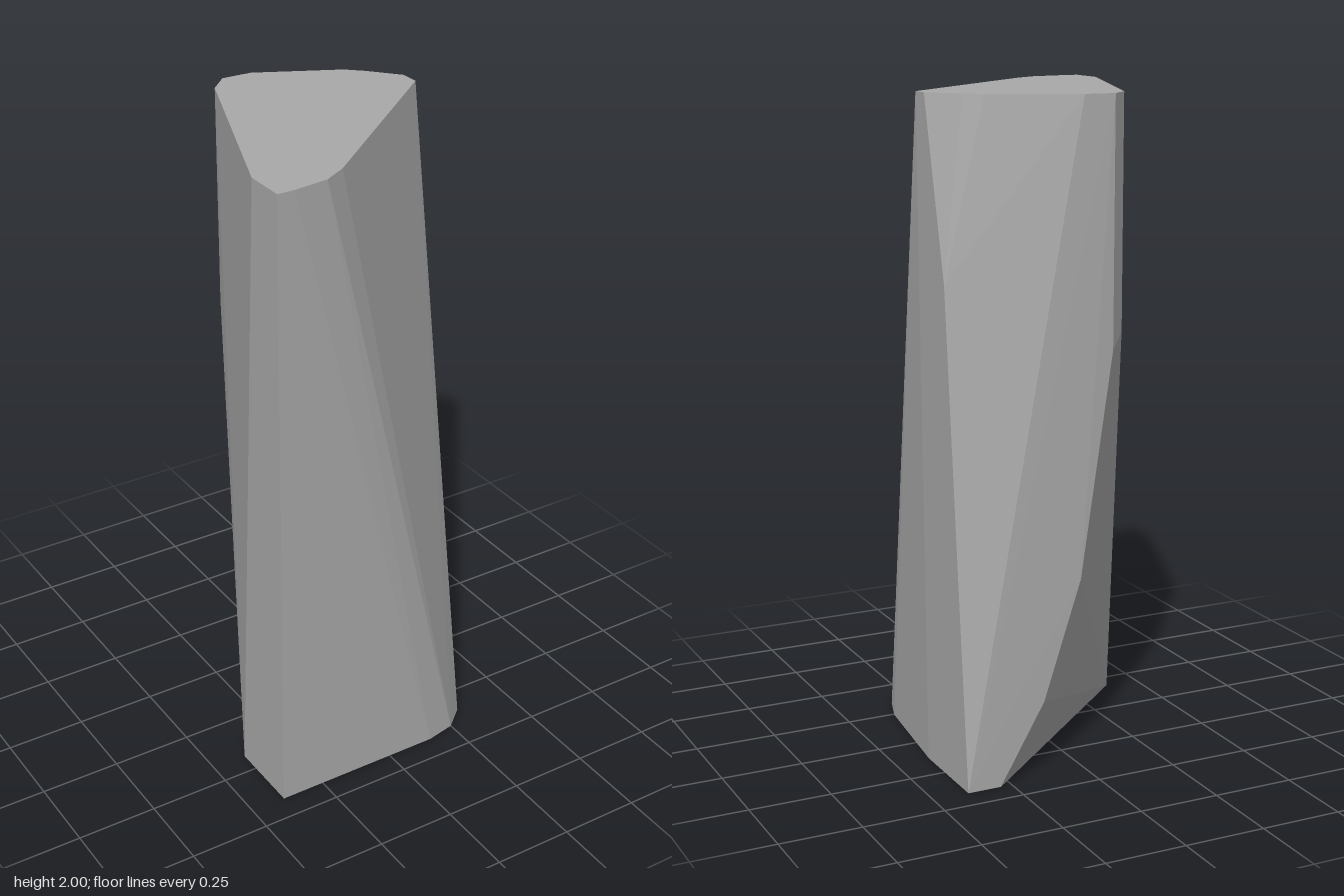
import * as THREE from 'three';
import { ConvexGeometry } from 'three/addons/geometries/ConvexGeometry.js';

// Outlines as [x, z] at a given height
const ring = (y, outline) => outline.map(([x, z]) => new THREE.Vector3(x, y, z));

export function createModel() {
  const stone = new THREE.MeshStandardMaterial({ color: 0xa8a8a8 });
  stone.name = 'stone grey';

  // Flat top, a rounded triangle leaning to the back
  const top = ring(2, [
    [-0.39, 0.42], [-0.39, 0.29], [-0.14, -0.35], [-0.08, -0.41],
    [0.015, -0.407], [0.265, -0.284], [0.312, -0.24], [0.39, -0.15],
    [0.39, -0.09], [-0.153, 0.362], [-0.227, 0.405], [-0.339, 0.42],
  ]);

  // Flat foot, a rounded triangle turned the other way
  const foot = ring(0, [
    [-0.39, 0.42], [-0.39, 0.18], [0.285, -0.42], [0.39, -0.42],
    [0.39, -0.13], [0.348, 0.246], [0.317, 0.342], [0.25, 0.4], [0.155, 0.42],
  ]);

  // Chipped ridge down the back
  const ridge = [
    [-0.14, 1.31, -0.35], [-0.08, 1.27, -0.41], [0.025, 0.6, -0.42],
    [0.144, 0.24, -0.42], [0.39, 1.47, -0.278],
  ].map((p) => new THREE.Vector3(...p));

  const block = new THREE.Mesh(new ConvexGeometry([...top, ...foot, ...ridge]), stone);
  block.name = 'stonePillar';

  const group = new THREE.Group();
  group.name = 'standingStone';
  group.add(block);
  return group;
}
